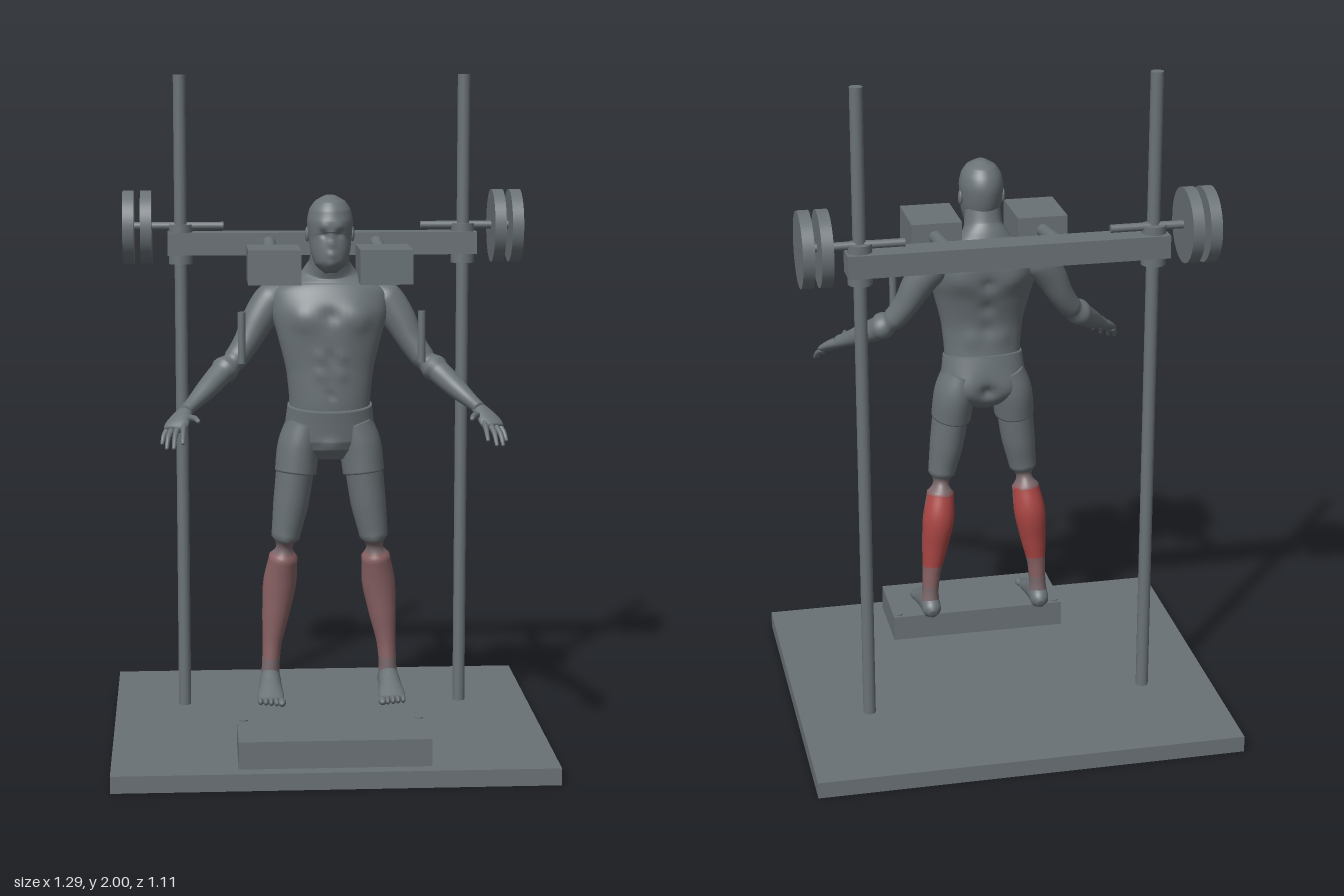
import * as THREE from 'three';

const mat = (name, color) => Object.assign(new THREE.MeshStandardMaterial({ color }), { name });
const grey = mat('slate grey', 0x6a7276);
const faint = mat('faint rose', 0x7a696c);
const rose = mat('muted rose', 0x8a6264);
const red = mat('muscle red', 0xaa4644);
const tints = [grey, faint, rose, red];
const Y = new THREE.Vector3(0, 1, 0);
const Z = new THREE.Vector3(0, 0, 1);

export function createModel() {
  const model = new THREE.Group();
  model.name = 'figureInTrainingRack';

  const add = (name, geo, x = 0, y = 0, z = 0, material = grey) => {
    const m = new THREE.Mesh(geo, material);
    m.name = name;
    m.position.set(x, y, z);
    model.add(m);
    return m;
  };
  const box = (name, x0, x1, y0, y1, z0, z1) =>
    add(name, new THREE.BoxGeometry(x1 - x0, y1 - y0, z1 - z0), (x0 + x1) / 2, (y0 + y1) / 2, (z0 + z1) / 2);
  const rod = (name, a, b, r, seg = 24) => {
    const p = new THREE.Vector3(...a), q = new THREE.Vector3(...b);
    const d = q.clone().sub(p);
    const m = add(name, new THREE.CylinderGeometry(r, r, d.length(), seg), ...p.add(q).multiplyScalar(0.5).toArray());
    m.quaternion.setFromUnitVectors(Y, d.normalize());
    return m;
  };
  const ball = (name, x, y, z, sx, sy, sz) =>
    add(name, new THREE.SphereGeometry(1, 20, 14), x, y, z).scale.set(sx, sy, sz);

  // Smooth skin through elliptical sections [x, y, z, sideRadius, depthRadius];
  // bumps [x, y, z, reach, push] swell or dent it, pick() chooses a tint per face
  const loft = (name, sections, { rings = 32, seg = 32, ref = Z, bumps = [], pick } = {}) => {
    const path = new THREE.CatmullRomCurve3(sections.map(s => new THREE.Vector3(s[0], s[1], s[2])));
    const size = new THREE.CatmullRomCurve3(sections.map(s => new THREE.Vector3(s[3], s[4], 0)));
    const pts = [];
    for (let i = 0; i <= rings; i++) {
      const c = path.getPoint(i / rings), r = size.getPoint(i / rings), t = path.getTangent(i / rings);
      const u = new THREE.Vector3().crossVectors(ref, t).normalize();
      const v = new THREE.Vector3().crossVectors(t, u);
      for (let j = 0; j < seg; j++) {
        const a = j / seg * Math.PI * 2;
        const d = u.clone().multiplyScalar(Math.cos(a) * r.x).addScaledVector(v, Math.sin(a) * r.y);
        const p = c.clone().add(d);
        let push = 0;
        for (const [x, y, z, reach, amount] of bumps) {
          const q = ((p.x - x) ** 2 + (p.y - y) ** 2 + (p.z - z) ** 2) / (reach * reach);
          push += amount * Math.exp(-2 * q);
        }
        pts.push(p.addScaledVector(d.normalize(), push));
      }
    }
    const first = pts.length;
    pts.push(path.getPoint(0), path.getPoint(1));
    const faces = tints.map(() => []);
    const tri = (a, b, c) => {
      const mid = pts[a].clone().add(pts[b]).add(pts[c]).divideScalar(3);
      faces[pick ? pick(mid) : 0].push(a, b, c);
    };
    for (let j = 0; j < seg; j++) {
      const k = (j + 1) % seg, end = rings * seg;
      for (let i = 0; i < rings; i++) {
        const o = i * seg;
        tri(o + j, o + k, o + seg + j);
        tri(o + k, o + seg + k, o + seg + j);
      }
      tri(first, k, j);
      tri(first + 1, end + j, end + k);
    }
    const geo = new THREE.BufferGeometry().setFromPoints(pts);
    geo.setIndex(faces.flat());
    let start = 0;
    faces.forEach((f, i) => { geo.addGroup(start, f.length, i); start += f.length; });
    geo.computeVertexNormals();
    return add(name, geo, 0, 0, 0, tints);
  };
  const both = list => list.flatMap(([x, ...rest]) => [[x, ...rest], [-x, ...rest]]);

  // Platform, step and crossbeam
  box('basePlate', -0.643, 0.643, 0, 0.05, -0.556, 0.556);
  box('stepBlock', -0.278, 0.276, 0.05, 0.13, 0.276, 0.512);
  box('crossbeam', -0.47, 0.47, 1.458, 1.526, -0.22, -0.135);

  // Head with brow, nose, eye sockets, lips and chin
  loft('head', [
    [0, 1.443, 0.25, 0.02, 0.03], [0, 1.465, 0.245, 0.044, 0.052], [0, 1.50, 0.235, 0.056, 0.063],
    [0, 1.54, 0.218, 0.062, 0.081], [0, 1.585, 0.212, 0.066, 0.085], [0, 1.62, 0.212, 0.06, 0.076],
    [0, 1.645, 0.212, 0.044, 0.057], [0, 1.662, 0.212, 0.015, 0.02],
  ], {
    rings: 56, seg: 56, bumps: [
      [0, 1.53, 0.305, 0.016, 0.02], [0, 1.55, 0.3, 0.014, 0.009], [0, 1.496, 0.3, 0.018, 0.006],
      [0, 1.464, 0.297, 0.02, 0.007], ...both([[0.025, 1.557, 0.29, 0.016, -0.009], [0.022, 1.577, 0.29, 0.02, 0.004]]),
    ],
  });

  // Torso and neck with chest, belly and back relief
  loft('torso', [
    [0, 1.0, 0.195, 0.118, 0.078], [0, 1.06, 0.202, 0.118, 0.077], [0, 1.15, 0.205, 0.126, 0.074],
    [0, 1.25, 0.198, 0.15, 0.086], [0, 1.32, 0.185, 0.168, 0.092], [0, 1.37, 0.172, 0.168, 0.082],
    [0, 1.405, 0.165, 0.135, 0.07], [0, 1.435, 0.167, 0.082, 0.06], [0, 1.47, 0.182, 0.058, 0.056],
    [0, 1.54, 0.2, 0.052, 0.054],
  ], {
    rings: 72, seg: 64, bumps: [
      [0, 1.32, 0.28, 0.03, -0.01], [0, 1.09, 0.28, 0.012, -0.008], [0, 1.2, 0.285, 0.02, -0.006],
      [0, 1.15, 0.12, 0.03, -0.008], [0, 1.22, 0.11, 0.03, -0.01], [0, 1.3, 0.09, 0.03, -0.012],
      ...both([[0.07, 1.31, 0.265, 0.06, 0.016], [0.08, 1.285, 0.275, 0.01, 0.005],
        [0.03, 1.2, 0.28, 0.024, 0.006], [0.03, 1.15, 0.28, 0.024, 0.006],
        [0.08, 1.33, 0.1, 0.06, 0.012], [0.045, 1.12, 0.13, 0.04, 0.006]]),
    ],
  });

  // Shorts
  loft('shorts', [
    [0, 1.055, 0.201, 0.123, 0.082], [0, 1.0, 0.192, 0.13, 0.084], [0, 0.95, 0.19, 0.138, 0.08],
    [0, 0.92, 0.192, 0.12, 0.068], [0, 0.89, 0.195, 0.05, 0.04],
  ], {
    seg: 56, rings: 36,
    bumps: [[0, 0.95, 0.105, 0.03, -0.02], [0, 0.93, 0.27, 0.04, 0.012], ...both([[0.065, 0.96, 0.115, 0.06, 0.012]])],
  });

  // Calves glow red at the back and fade toward knee and ankle
  const calfTint = p => {
    if (p.y > 0.65 || p.y < 0.235) return 0;
    if (p.z < 0.178 && p.y > 0.36 && p.y < 0.6) return 3;
    return p.y > 0.61 || p.y < 0.29 ? 1 : 2;
  };

  for (const s of [1, -1]) {
    const side = s > 0 ? 'left' : 'right';
    const flip = list => list.map(([x, ...rest]) => [s * x, ...rest]);
    const n = part => side + part;

    // Rack: post, collar, bar, plates, shoulder pad and hand grip
    rod(n('Post'), [s * 0.43, 0.05, -0.17], [s * 0.43, 2, -0.17], 0.019);
    rod(n('Collar'), [s * 0.43, 1.43, -0.175], [s * 0.43, 1.55, -0.175], 0.036);
    rod(n('WeightBar'), [s * 0.30, 1.545, -0.175], [s * 0.6, 1.545, -0.175], 0.012);
    for (const x of [0.517, 0.57])
      rod(n('WeightDisc'), [s * x, 1.542, -0.175], [s * (x + 0.034), 1.542, -0.175], 0.111, 48);
    rod(n('PadArm'), [s * 0.163, 1.496, -0.14], [s * 0.163, 1.467, 0.1], 0.02);
    const [x0, x1] = s > 0 ? [0.083, 0.235] : [-0.238, -0.086];
    box(n('ShoulderPad'), x0, x1, 1.41, 1.51, 0.087, 0.288);
    rod(n('HandGrip'), [s * 0.258, 1.188, 0.302], [s * 0.258, 1.336, 0.302], 0.011);
    rod(n('StepBolt'), [s * 0.258, 0.125, 0.297], [s * 0.258, 0.134, 0.297], 0.012, 16);

    // Leg
    loft(n('ShortsLeg'), flip([
      [0.07, 1.0, 0.19, 0.055, 0.075], [0.09, 0.93, 0.19, 0.062, 0.08], [0.1, 0.85, 0.198, 0.061, 0.074],
    ]));
    loft(n('Leg'), flip([
      [0.1, 0.87, 0.197, 0.056, 0.07], [0.114, 0.76, 0.2, 0.052, 0.061], [0.13, 0.66, 0.203, 0.042, 0.048],
      [0.136, 0.60, 0.193, 0.042, 0.048], [0.146, 0.52, 0.175, 0.049, 0.052], [0.159, 0.42, 0.176, 0.04, 0.042],
      [0.17, 0.33, 0.178, 0.028, 0.034], [0.174, 0.27, 0.18, 0.026, 0.034], [0.176, 0.22, 0.178, 0.03, 0.038],
    ]), { rings: 64, pick: calfTint, bumps: [[s * 0.13, 0.645, 0.25, 0.025, 0.006]] });
    loft(n('Foot'), flip([
      [0.175, 0.205, 0.128, 0.012, 0.014], [0.175, 0.212, 0.145, 0.028, 0.03], [0.176, 0.222, 0.19, 0.031, 0.042],
      [0.177, 0.212, 0.24, 0.034, 0.032], [0.178, 0.2, 0.29, 0.039, 0.02], [0.178, 0.194, 0.318, 0.036, 0.012],
    ]), { ref: Y });
    for (let i = 0; i < 5; i++)
      ball(n('Toe'), s * (0.147 + i * 0.0155), 0.193, 0.328 - i * 0.005, i ? 0.008 : 0.012, 0.012, 0.025);

    // Arm, palm and fingers
    ball(n('Ear'), s * 0.065, 1.55, 0.205, 0.007, 0.022, 0.014);
    loft(n('Arm'), flip([
      [0.13, 1.385, 0.15, 0.03, 0.035], [0.168, 1.352, 0.152, 0.052, 0.053], [0.205, 1.3, 0.162, 0.048, 0.05],
      [0.24, 1.235, 0.175, 0.039, 0.045], [0.275, 1.185, 0.192, 0.035, 0.04], [0.315, 1.15, 0.22, 0.035, 0.04],
      [0.36, 1.11, 0.28, 0.03, 0.034], [0.4, 1.077, 0.335, 0.021, 0.025], [0.422, 1.06, 0.367, 0.018, 0.023],
    ]), { rings: 48 });
    loft(n('Palm'), flip([
      [0.415, 1.063, 0.355, 0.02, 0.018], [0.432, 1.047, 0.385, 0.029, 0.017],
      [0.445, 1.03, 0.412, 0.035, 0.015], [0.452, 1.018, 0.43, 0.032, 0.011],
    ]), { rings: 14, ref: Y });
    const fingers = [
      [[0.413, 1.045, 0.39], [0.395, 1.052, 0.435], [0.385, 1.05, 0.475]],
      [[0.425, 1.032, 0.42], [0.427, 1.015, 0.46], [0.428, 0.992, 0.493]],
      [[0.442, 1.025, 0.425], [0.45, 1.005, 0.463], [0.453, 0.978, 0.493]],
      [[0.458, 1.02, 0.42], [0.469, 1.0, 0.453], [0.473, 0.975, 0.476]],
      [[0.468, 1.022, 0.408], [0.481, 1.003, 0.43], [0.486, 0.984, 0.447]],
    ];
    fingers.forEach((f, i) => {
      const r = i ? 0.009 : 0.011;
      loft(n(i ? 'Finger' : 'Thumb'), flip(f.map((p, k) => [...p, r * (1 - k * 0.2), r * (1 - k * 0.2)])),
        { rings: 8, seg: 12, ref: Y });
      ball(n('Fingertip'), s * f[2][0], f[2][1], f[2][2], r * 0.6, r * 0.6, r * 0.6);
    });
  }
  return model;
}
